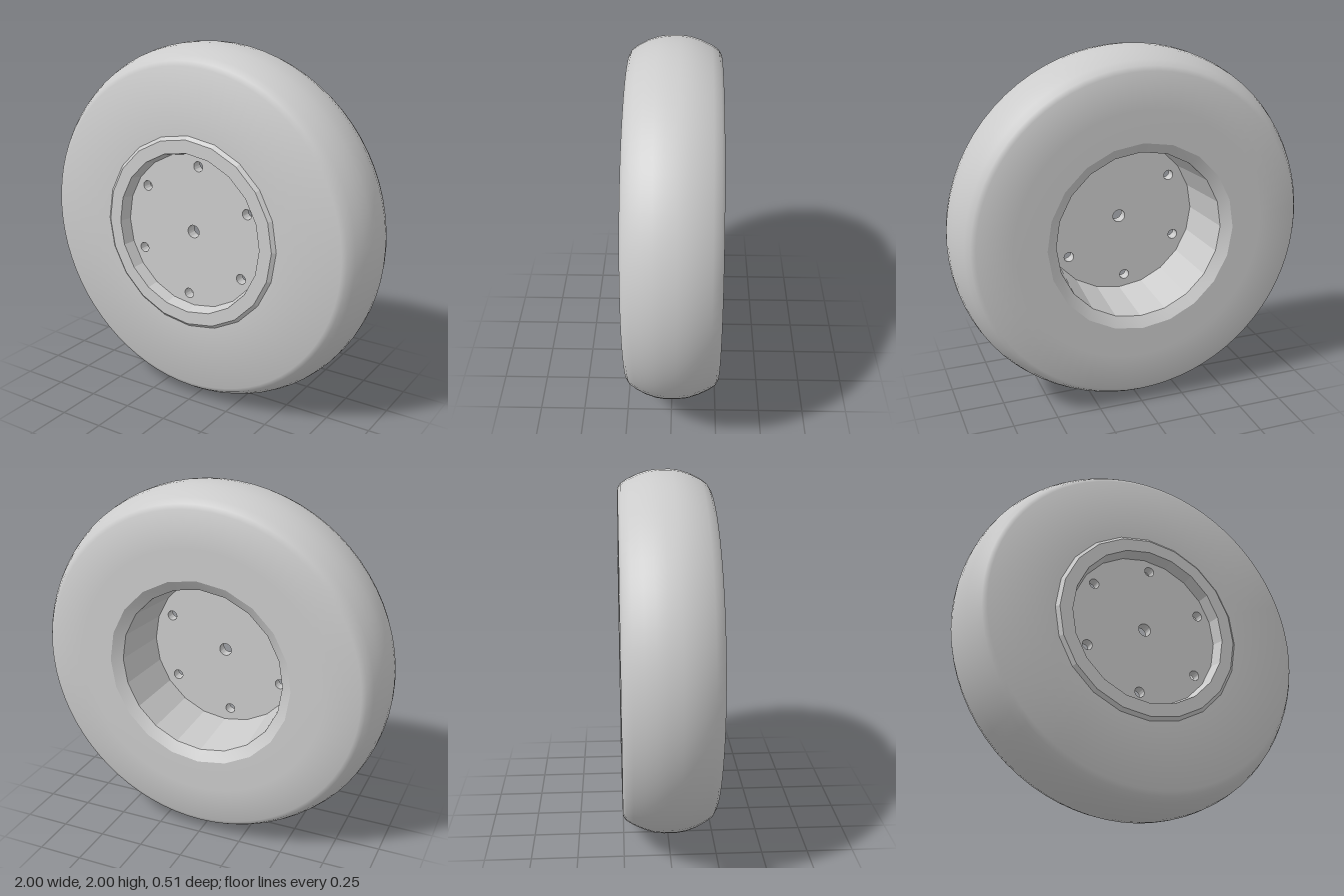
import * as THREE from 'three';
import { toCreasedNormals } from 'three/addons/utils/BufferGeometryUtils.js';

const material = new THREE.MeshStandardMaterial({ color: 0xcccccc });

// Revolves [radius, z] points around the axle (z)
function revolve(name, points, segments, crease) {
  const profile = points.map(([r, z]) => new THREE.Vector2(r, z));
  const geometry = new THREE.LatheGeometry(profile, segments).rotateX(Math.PI / 2);
  const mesh = new THREE.Mesh(toCreasedNormals(geometry, crease), material);
  mesh.name = name;
  return mesh;
}

function addHole(shape, x, y, radius) {
  const hole = new THREE.Path();
  hole.absarc(x, y, radius, 0, Math.PI * 2, true);
  shape.holes.push(hole);
}

export function createModel() {
  const wheel = new THREE.Group();
  wheel.name = 'wheel';

  // Tyre: flat sidewalls, rounded shoulders and a gently crowned tread
  wheel.add(revolve('tyre', [
    [0.53, -0.256], [0.7, -0.256], [0.9, -0.253], [0.925, -0.238], [0.95, -0.2],
    [0.975, -0.145], [0.993, -0.09], [1, -0.035], [1, 0.03], [0.993, 0.08],
    [0.975, 0.135], [0.95, 0.185], [0.925, 0.221], [0.9, 0.236], [0.53, 0.24],
  ], 72, 0.55));

  // Rim: raised front lip, step down to the hub, deep tapered well at the back
  wheel.add(revolve('rim', [
    [0.545, 0.236], [0.522, 0.257], [0.45, 0.257], [0.432, 0.185],
    [0.432, 0.14], [0.445, 0.13], [0.472, -0.22], [0.53, -0.258], [0.55, -0.258],
  ], 20, 0.2));

  // Hub disc with an axle hole and six bolt holes
  const shape = new THREE.Shape();
  shape.absarc(0, 0, 0.445, 0, Math.PI * 2, false);
  addHole(shape, 0, 0, 0.036);
  for (let i = 0; i < 6; i++) {
    const angle = THREE.MathUtils.degToRad(25 + i * 60);
    addHole(shape, 0.37 * Math.cos(angle), 0.37 * Math.sin(angle), 0.028);
  }
  const disc = new THREE.ExtrudeGeometry(shape, { depth: 0.06, bevelEnabled: false, curveSegments: 20 });
  const hub = new THREE.Mesh(toCreasedNormals(disc.translate(0, 0, 0.13), 0.6), material);
  hub.name = 'hubDisc';
  wheel.add(hub);

  wheel.children.forEach((part) => { part.position.y = 1; });
  return wheel;
}
